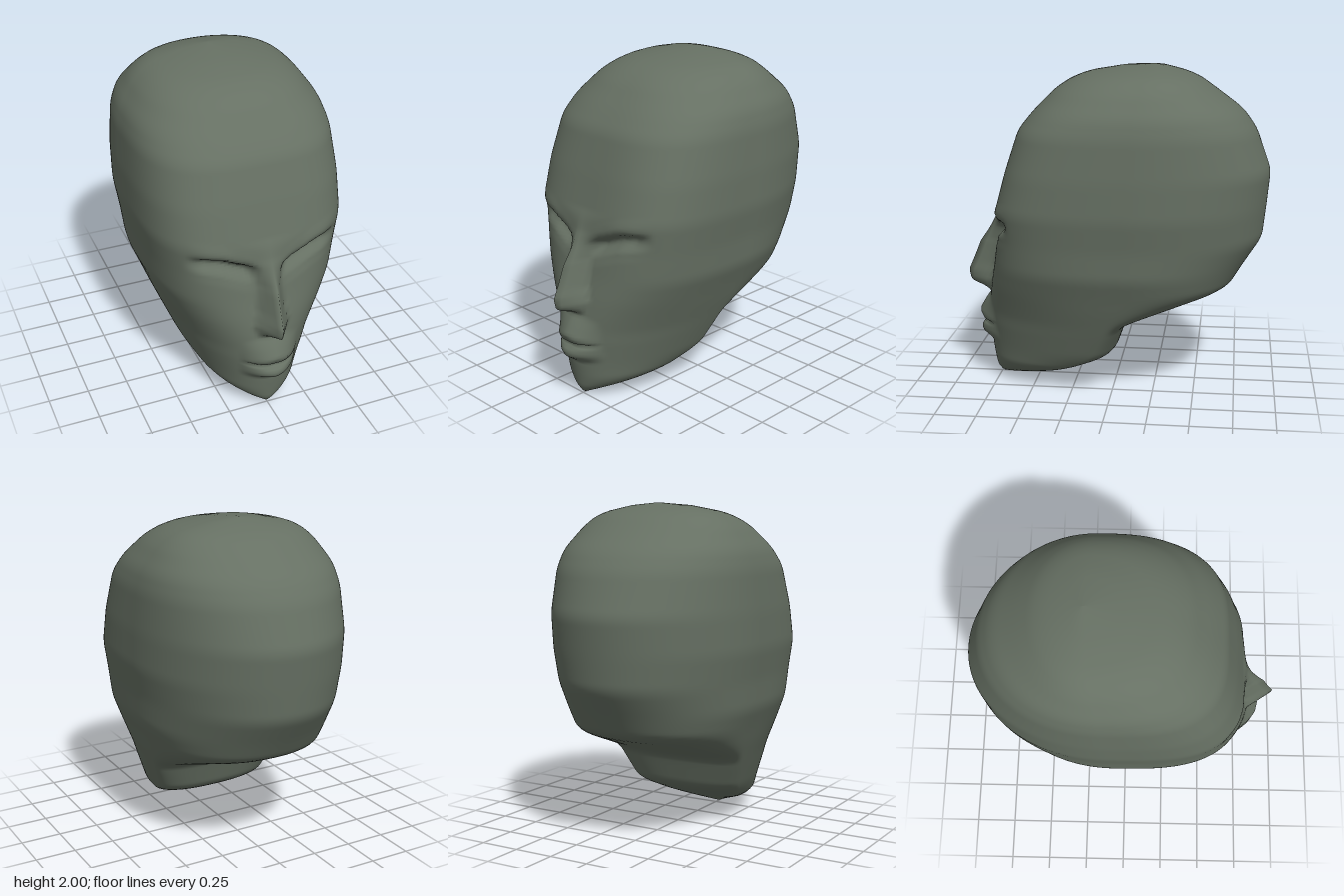
import * as THREE from 'three';

// Horizontal sections: y, half width, front z, back z, z of widest point, front and back roundness
const SECTIONS = [
  [0.00, 0.00, 0.73, 0.55, 0.65, 2.0, 2.0],
  [0.03, 0.09, 0.77, 0.46, 0.60, 2.0, 2.0],
  [0.12, 0.28, 0.785, 0.22, 0.36, 2.0, 2.2],
  [0.23, 0.36, 0.80, -0.01, 0.14, 2.0, 2.6],
  [0.40, 0.43, 0.81, -0.07, 0.06, 2.1, 2.8],
  [0.45, 0.45, 0.81, -0.09, 0.04, 2.1, 2.8],
  [0.55, 0.49, 0.80, -0.39, 0.00, 2.3, 2.6],
  [0.66, 0.53, 0.78, -0.71, -0.03, 2.6, 2.3],
  [0.79, 0.58, 0.75, -0.79, -0.06, 2.9, 2.1],
  [0.96, 0.595, 0.72, -0.90, -0.08, 3.3, 2.05],
  [1.15, 0.625, 0.72, -0.92, -0.10, 3.4, 2.05],
  [1.37, 0.625, 0.66, -0.94, -0.11, 3.3, 2.05],
  [1.62, 0.61, 0.58, -0.85, -0.13, 3.0, 2.1],
  [1.73, 0.58, 0.49, -0.77, -0.15, 2.8, 2.1],
  [1.87, 0.48, 0.35, -0.58, -0.18, 2.5, 2.1],
  [1.94, 0.38, 0.22, -0.48, -0.20, 2.3, 2.1],
  [1.98, 0.26, 0.08, -0.34, -0.21, 2.1, 2.0],
  [2.00, 0.00, -0.22, -0.24, -0.23, 2.0, 2.0],
];

// Heights above the face plane: y, value
const NOSE_HEIGHT = [[0.555, 0], [0.60, 0.125], [0.62, 0.15], [0.68, 0.175], [0.87, 0.135], [1.06, 0.035], [1.18, 0]];
const NOSE_WIDTH = [[0.56, 0.09], [0.64, 0.11], [0.74, 0.085], [0.90, 0.075], [1.0, 0.11], [1.18, 0.26]];
const LIP_HEIGHT = [[0.24, 0], [0.29, 0.065], [0.32, 0.065], [0.345, 0.05], [0.36, 0.0], [0.38, 0.045], [0.43, 0.07], [0.5, 0.035], [0.56, 0]];
const EYE_DEPTH = [[-0.13, 0], [-0.07, 0.01], [-0.02, 0.06], [0.01, 0.06], [0.04, 0], [0.07, -0.01], [0.13, 0]];
const EYE_SPAN = [[0.06, 0], [0.14, 0.9], [0.24, 1], [0.36, 0.85], [0.47, 0]];

// Piecewise linear lookup of one column of a table
function lookup(table, v, column = 1) {
  if (v <= table[0][0]) return table[0][column];
  for (let i = 1; i < table.length; i++) {
    const a = table[i - 1], b = table[i];
    if (v <= b[0]) return a[column] + (b[column] - a[column]) * (v - a[0]) / (b[0] - a[0]);
  }
  return table[table.length - 1][column];
}

// Section value with its corners softened
function section(y, column) {
  const r = Math.min(0.035, y, 2 - y);
  let sum = 0;
  for (let k = -3; k <= 3; k++) sum += lookup(SECTIONS, y + r * k / 3, column);
  return sum / 7;
}

// Nose, lips and slanted eye sockets as offsets of the face surface
function faceOffset(x, y) {
  const ax = Math.abs(x);
  const nose = lookup(NOSE_HEIGHT, y) * Math.max(0, 1 - ax / lookup(NOSE_WIDTH, y));
  const lipSpan = Math.max(0, 1 - (ax / 0.18) ** 2);
  const lips = lookup(LIP_HEIGHT, y + (y > 0.37 ? ax * 0.2 : -ax * 0.08)) * lipSpan;
  const eyeLine = 0.985 + 0.4 * (ax - 0.12) - 0.25 * Math.max(0, ax - 0.28);
  const eye = lookup(EYE_DEPTH, y - eyeLine) * lookup(EYE_SPAN, ax);
  return nose + lips - eye;
}

function headGeometry(rows = 125, columns = 160) {
  const positions = [], index = [];
  for (let j = 0; j <= rows; j++) {
    const y = 2 * j / rows;
    const [w, front, back, mid, nf, nb] = [1, 2, 3, 4, 5, 6].map((c) => section(y, c));
    for (let i = 0; i < columns; i++) {
      const t = i / columns * Math.PI * 2;
      const s = Math.sin(t), isFront = Math.cos(t) >= 0;
      const n = isFront ? nf : nb;
      const curve = Math.max(0, 1 - Math.abs(s) ** n) ** (1 / n);
      const x = w * s;
      let z = mid + ((isFront ? front : back) - mid) * curve;
      if (isFront) z += faceOffset(x, y);
      positions.push(x, y, z);
    }
  }
  for (let j = 0; j < rows; j++) {
    for (let i = 0; i < columns; i++) {
      const a = j * columns + i, b = j * columns + (i + 1) % columns;
      index.push(a, b, b + columns, a, b + columns, a + columns);
    }
  }
  const geometry = new THREE.BufferGeometry();
  geometry.setAttribute('position', new THREE.Float32BufferAttribute(positions, 3));
  geometry.setIndex(index);
  geometry.computeVertexNormals();
  return geometry;
}

export function createModel() {
  const group = new THREE.Group();
  group.name = 'headSculpture';
  const skin = new THREE.MeshStandardMaterial({ color: 0x667063 });
  skin.name = 'grey green skin';
  const head = new THREE.Mesh(headGeometry(), skin);
  head.name = 'head';
  group.add(head);
  return group;
}
